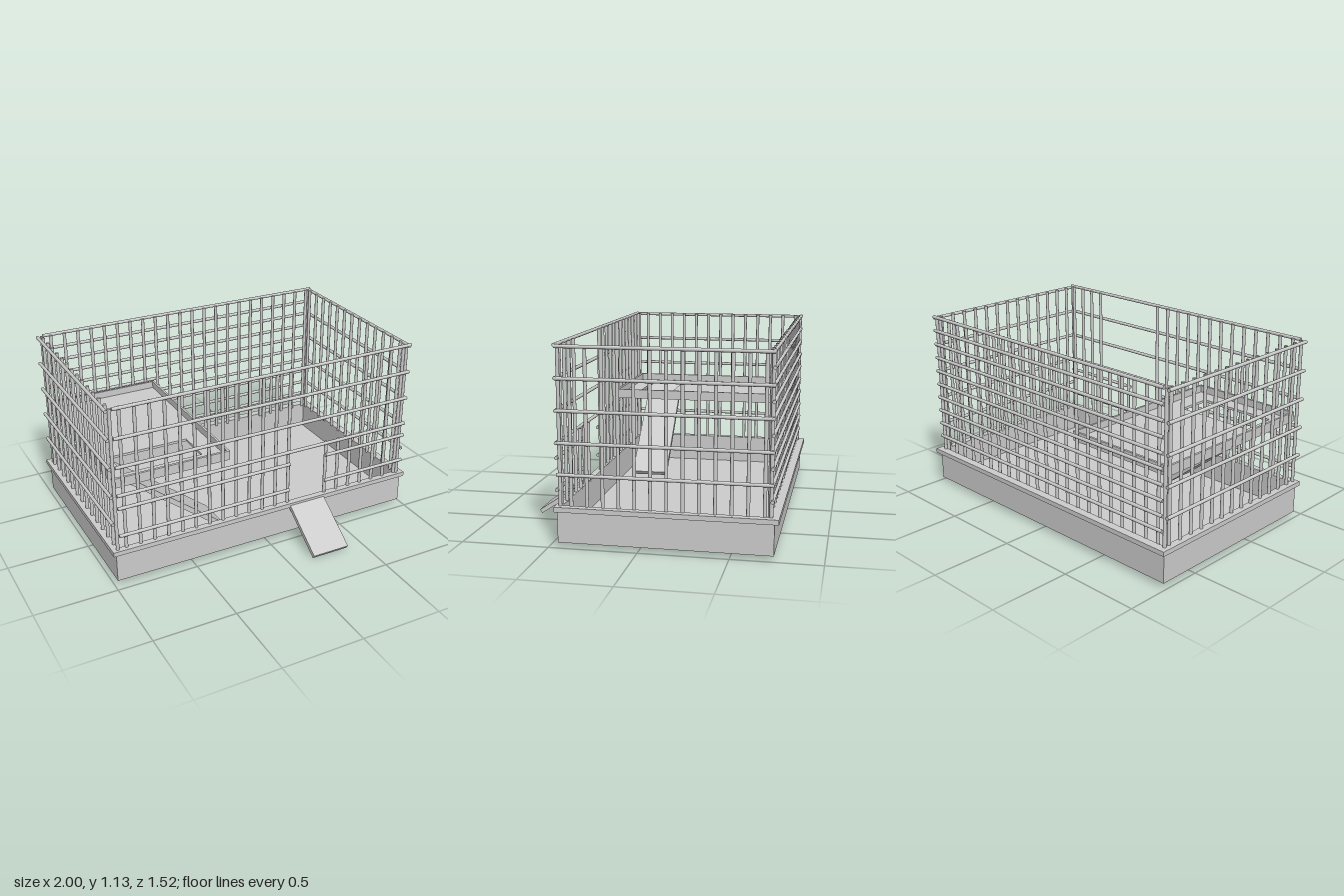
import * as THREE from 'three';

export function createModel() {
  const root = new THREE.Group();
  const mat = new THREE.MeshStandardMaterial({ color: 0xcccccc });

  const group = (name) => {
    const g = new THREE.Group();
    g.name = name;
    root.add(g);
    return g;
  };

  const add = (parent, name, geometry) => {
    const mesh = new THREE.Mesh(geometry, mat);
    mesh.name = name;
    parent.add(mesh);
    return mesh;
  };

  // Box given by its two extreme corners
  const box = (parent, name, [x0, y0, z0], [x1, y1, z1]) => {
    const m = add(parent, name, new THREE.BoxGeometry(x1 - x0, y1 - y0, z1 - z0));
    m.position.set((x0 + x1) / 2, (y0 + y1) / 2, (z0 + z1) / 2);
  };

  // Flat slab with a rectangular opening, areas given as [x0, z0, x1, z1];
  // the outline runs anticlockwise and the opening clockwise
  const corners = ([x0, z0, x1, z1]) =>
    [[x0, -z1], [x1, -z1], [x1, -z0], [x0, -z0]].map(([x, y]) => new THREE.Vector2(x, y));
  const frame = (parent, name, outer, inner, y0, y1) => {
    const shape = new THREE.Shape(corners(outer));
    shape.holes.push(new THREE.Path(corners(inner).reverse()));
    const geo = new THREE.ExtrudeGeometry(shape, { depth: y1 - y0, bevelEnabled: false });
    geo.rotateX(-Math.PI / 2);
    add(parent, name, geo).position.y = y0;
  };

  // Round bar between two points
  const bar = (parent, name, a, b) => {
    const p = new THREE.Vector3(...a), q = new THREE.Vector3(...b);
    const m = add(parent, name, new THREE.CylinderGeometry(0.0103, 0.0103, p.distanceTo(q), 12));
    m.position.copy(p).add(q).multiplyScalar(0.5);
    m.quaternion.setFromUnitVectors(new THREE.Vector3(0, 1, 0), q.sub(p).normalize());
  };

  // Deep base tray with an overhanging rim
  const tray = group('baseTray');
  const inside = [-0.955, -0.71, 0.955, 0.425];
  box(tray, 'trayFloor', [-0.98, 0.026, -0.735], [0.98, 0.055, 0.45]);
  frame(tray, 'trayWalls', [-0.98, -0.735, 0.98, 0.45], inside, 0.055, 0.203);
  frame(tray, 'trayRim', [-1, -0.76, 1, 0.465], inside, 0.203, 0.231);

  // Bar spacing
  const step = 0.088, low = 0.22, high = 1.115;

  // Front wall, with a doorway and an open window above it; plain back wall
  const front = group('frontBars');
  const back = group('backBars');
  for (let i = 0; i < 22; i++) {
    const x = -0.91 + i * step;
    bar(back, 'backUpright', [x, low, -0.705], [x, high, -0.705]);
    if (x > 0.16 && x < 0.4) continue;
    const top = x > 0.4 && x < 0.6 ? 0.585 : high;
    bar(front, 'frontUpright', [x, low, 0.434], [x, top, 0.434]);
  }
  for (const y of [1.115, 0.937, 0.76, 0.583]) {
    bar(front, 'frontRail', [-0.955, y, 0.45], [0.98, y, 0.45]);
  }
  for (const y of [0.5, 0.322]) {
    bar(front, 'frontRailShort', [-0.955, y, 0.45], [0.15, y, 0.45]);
    bar(front, 'frontRailShort', [0.4, y, 0.45], [0.98, y, 0.45]);
  }

  // Back wall has more rails
  for (let i = 0; i < 10; i++) {
    const y = 0.319 + i * 0.0884;
    bar(back, 'backRail', [-0.955, y, -0.722], [0.98, y, -0.722]);
  }

  // Side walls: uprights inside, rails outside
  for (const [name, xUp, xRail] of [['left', 0.957, 0.972], ['right', -0.965, -0.988]]) {
    const side = group(name + 'Bars');
    for (let i = 0; i < 13; i++) {
      const z = 0.375 - i * step;
      bar(side, name + 'Upright', [xUp, low, z], [xUp, high, z]);
    }
    for (const z of [0.438, -0.715]) {
      bar(side, name + 'CornerPost', [xUp, low, z], [xUp, high, z]);
    }
    for (const y of [1.108, 0.935, 0.76, 0.583, 0.407]) {
      bar(side, name + 'Rail', [xRail, y, -0.725], [xRail, y, 0.452]);
    }
  }

  // Raised shelf with a lip and a ramp opening
  const shelf = group('shelf');
  const shelfArea = [-0.955, -0.685, -0.243, 0.425];
  frame(shelf, 'shelfFloor', shelfArea, [-0.86, 0.1, -0.37, 0.315], 0.62, 0.635);
  frame(shelf, 'shelfLip', shelfArea, [-0.942, -0.672, -0.256, 0.41], 0.635, 0.678);

  // Inner ramp from the shelf opening down into the tray, turned slightly
  const inner = add(root, 'innerRamp', new THREE.BoxGeometry(0.8, 0.03, 0.225));
  inner.position.set(-0.562, 0.368, 0.217);
  inner.rotation.set(0, 0.03, -0.675, 'YXZ');

  // Entrance ramp from the doorway to the ground
  const ramp = add(root, 'entranceRamp', new THREE.BoxGeometry(0.24, 0.026, 0.352));
  ramp.position.set(0.272, 0.109, 0.602);
  ramp.rotation.x = 0.59;

  return root;
}
